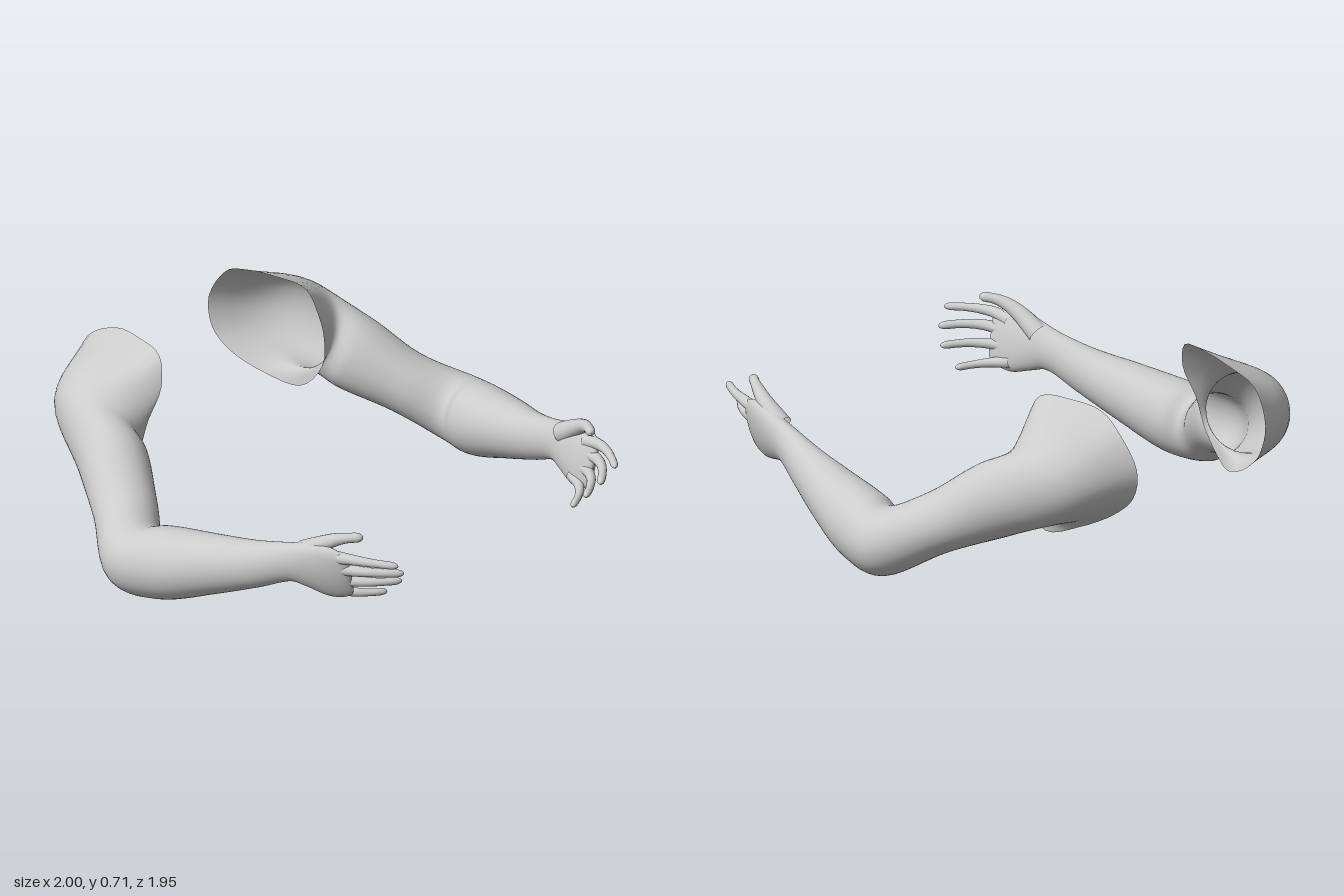
import * as THREE from 'three';

const V = (x, y, z) => new THREE.Vector3(x, y, z);
const SIDES = 12;
const material = new THREE.MeshStandardMaterial({ color: 0xcccccc, side: THREE.DoubleSide });

// Elliptical cross-section: angle 0 faces the inner side of the arm, 90 degrees faces up
function ring(centre, direction, ru, rv, roll = 0) {
  const d = direction.clone().normalize();
  const up = V(0, 1, 0).addScaledVector(d, -d.y).normalize();
  const inner = d.clone().cross(up);
  const points = [];
  for (let i = 0; i < SIDES; i++) {
    const a = (i / SIDES) * Math.PI * 2;
    const p = Math.cos(a) * ru, q = Math.sin(a) * rv;
    points.push(centre.clone()
      .addScaledVector(inner, p * Math.cos(roll) - q * Math.sin(roll))
      .addScaledVector(up, p * Math.sin(roll) + q * Math.cos(roll)));
  }
  return points;
}

// Smooth skin through a row of cross-sections; side = -1 mirrors it
function loft(name, rings, side, steps, around) {
  const columns = rings[0].map((_, i) => new THREE.CatmullRomCurve3(rings.map(r => r[i])));
  const rows = (rings.length - 1) * steps;
  const positions = [], index = [];
  for (let i = 0; i <= rows; i++) {
    const loop = new THREE.CatmullRomCurve3(columns.map(c => c.getPoint(i / rows)), true);
    for (let j = 0; j < around; j++) {
      const p = loop.getPoint(j / around);
      positions.push(p.x * side, p.y, p.z);
      if (i === rows) continue;
      const a = i * around + j, b = i * around + (j + 1) % around;
      const c = a + around, d = b + around;
      if (side > 0) index.push(a, c, b, b, c, d);
      else index.push(a, b, c, b, d, c);
    }
  }
  const geometry = new THREE.BufferGeometry();
  geometry.setAttribute('position', new THREE.Float32BufferAttribute(positions, 3));
  geometry.setIndex(index);
  geometry.computeVertexNormals();
  const mesh = new THREE.Mesh(geometry, material);
  mesh.name = name;
  return mesh;
}

// Open shoulder edge, starting at the front and going over the top
const shoulderEdge = [
  [0.47, 0.45, -0.48], [0.42, 0.58, -0.46], [0.39, 0.69, -0.5], [0.36, 0.705, -0.64],
  [0.34, 0.69, -0.78], [0.36, 0.63, -0.9], [0.345, 0.5, -0.975], [0.34, 0.38, -0.95],
  [0.36, 0.3, -0.87], [0.42, 0.23, -0.74], [0.48, 0.2, -0.62], [0.49, 0.32, -0.51],
].map(p => V(...p));

// Centre, direction, inner-outer radius, vertical radius, roll
const armSections = [
  [V(0.56, 0.42, -0.67), V(0.95, -0.3, 0.18), 0.19, 0.165],
  [V(0.64, 0.335, -0.5), V(0.5, -0.42, 0.75), 0.135, 0.15],
  [V(0.75, 0.228, -0.32), V(0.48, -0.4, 0.77), 0.125, 0.12],
  [V(0.865, 0.137, -0.15), V(0.2, -0.1, 0.95), 0.135, 0.135],
  [V(0.84, 0.15, -0.02), V(-0.2, 0.15, 1), 0.135, 0.143],
  [V(0.79, 0.207, 0.2), V(-0.22, 0.22, 0.95), 0.108, 0.117],
  [V(0.745, 0.257, 0.38), V(-0.22, 0.25, 0.95), 0.074, 0.093],
  [V(0.71, 0.307, 0.53), V(-0.2, 0.15, 0.95), 0.05, 0.081, 0.1],
  [V(0.695, 0.315, 0.6), V(-0.2, 0, 1), 0.047, 0.1, 0.2],
  [V(0.675, 0.315, 0.69), V(-0.25, 0, 1), 0.041, 0.122, 0.25],
  [V(0.658, 0.315, 0.755), V(-0.35, 0, 1), 0.027, 0.108, 0.25],
  [V(0.648, 0.315, 0.785), V(-0.35, 0, 1), 0.012, 0.085, 0.25],
  [V(0.646, 0.315, 0.79), V(-0.35, 0, 1), 0.001, 0.05, 0.25],
];

// Path points, then radii at base and tip
const digits = {
  thumb: [[V(0.69, 0.365, 0.58), V(0.682, 0.425, 0.67), V(0.655, 0.465, 0.745), V(0.61, 0.478, 0.815)], 0.042, 0.019],
  indexFinger: [[V(0.678, 0.385, 0.72), V(0.672, 0.4, 0.79), V(0.64, 0.405, 0.88), V(0.58, 0.402, 0.975)], 0.027, 0.015],
  middleFinger: [[V(0.668, 0.34, 0.72), V(0.658, 0.347, 0.79), V(0.61, 0.35, 0.875), V(0.525, 0.343, 0.95)], 0.027, 0.016],
  ringFinger: [[V(0.655, 0.288, 0.71), V(0.638, 0.288, 0.77), V(0.58, 0.288, 0.845), V(0.49, 0.284, 0.905)], 0.026, 0.015],
  littleFinger: [[V(0.643, 0.238, 0.68), V(0.625, 0.228, 0.73), V(0.575, 0.22, 0.785), V(0.495, 0.213, 0.83)], 0.025, 0.014],
};

// Tapered digit with a rounded tip
function digitRings([path, base, tip]) {
  const curve = new THREE.CatmullRomCurve3(path);
  return [0, 0.2, 0.4, 0.6, 0.8, 0.92, 0.97, 0.993, 1].map(t => {
    const cap = t > 0.9 ? Math.sqrt(Math.max(0.002, 1 - ((t - 0.9) / 0.1) ** 2)) : 1;
    const r = (base + (tip - base) * Math.min(1, t * 1.3)) * cap;
    return ring(curve.getPoint(t), curve.getTangent(t), r, r);
  });
}

function createArm(name, side) {
  const arm = new THREE.Group();
  arm.name = name;
  arm.add(loft('armAndPalm', [shoulderEdge, ...armSections.map(s => ring(...s))], side, 6, 48));
  for (const [digit, spec] of Object.entries(digits)) {
    arm.add(loft(digit, digitRings(spec), side, 2, 16));
  }
  return arm;
}

export function createModel() {
  const model = new THREE.Group();
  model.name = 'arms';
  model.add(createArm('leftArm', 1), createArm('rightArm', -1));
  return model;
}
